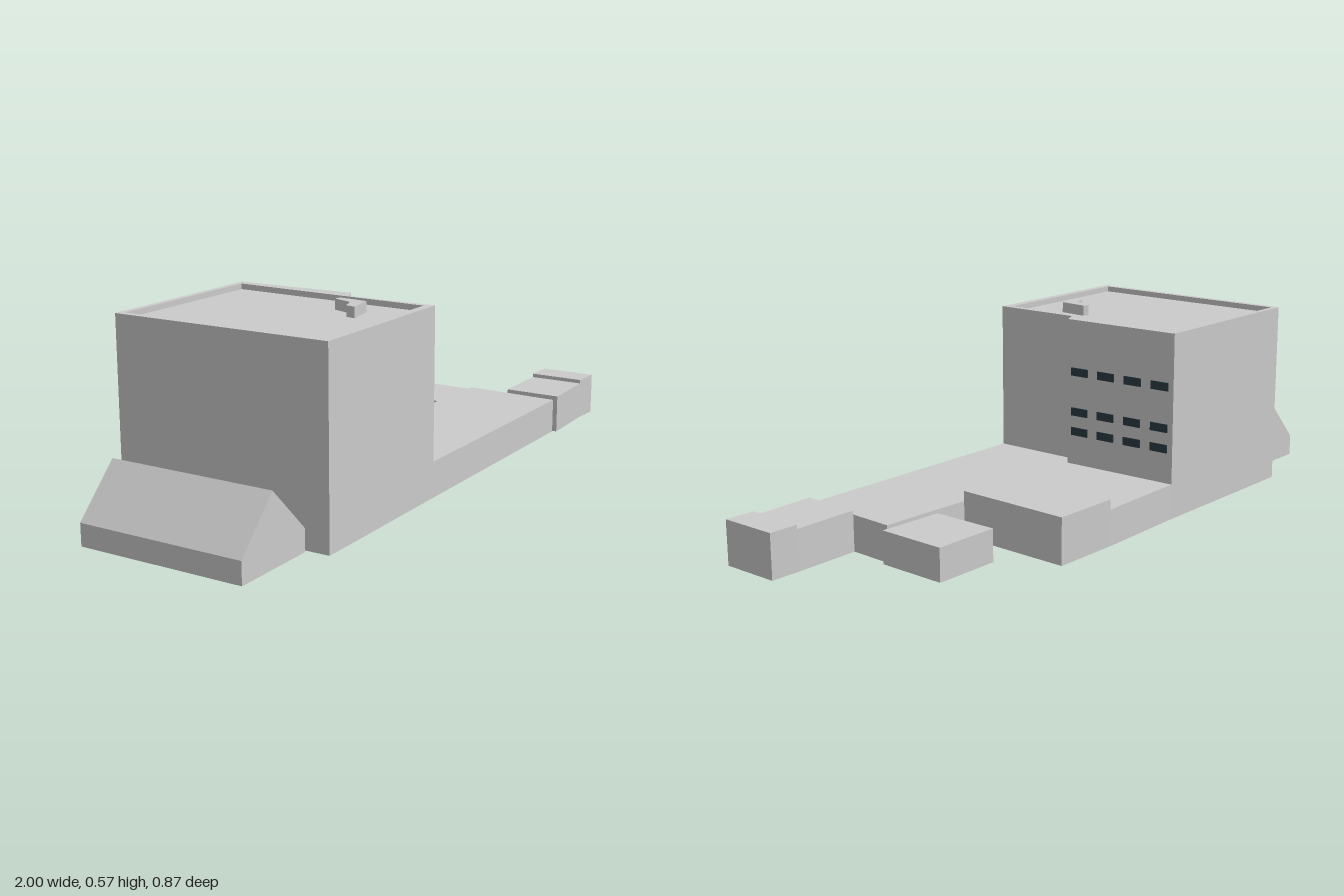
import * as THREE from 'three';

const shell = new THREE.MeshStandardMaterial({ color: 0xcccccc, flatShading: true, side: THREE.DoubleSide });
const glass = new THREE.MeshStandardMaterial({ color: 0x2a3b44 });

// Mesh from triangles given as a flat list of [x, y, z] corners
function meshOf(name, corners) {
  const geo = new THREE.BufferGeometry();
  geo.setAttribute('position', new THREE.Float32BufferAttribute(corners.flat(), 3));
  geo.computeVertexNormals();
  const mesh = new THREE.Mesh(geo, shell);
  mesh.name = name;
  return mesh;
}

// Convex polygon as a triangle fan
function fan(p) {
  const out = [];
  for (let i = 1; i < p.length - 1; i++) out.push(p[0], p[i], p[i + 1]);
  return out;
}

// Walls over a plan of [x, z] points (counter-clockwise from above);
// each edge has its own base height, null leaves the edge open
function walls(plan, top, bases) {
  return plan.flatMap(([x, z], i) => {
    const base = bases ? bases[i] : 0;
    if (base === null) return [];
    const [u, v] = plan[(i + 1) % plan.length];
    return fan([[x, base, z], [u, base, v], [u, top, v], [x, top, z]]);
  });
}

// Flat roof over a plan, optionally with a hole
function cap(plan, y, hole) {
  const to2D = (list) => list.map(([x, z]) => new THREE.Vector2(x, -z));
  const all = hole ? [...plan, ...hole] : plan;
  return THREE.ShapeUtils.triangulateShape(to2D(plan), hole ? [to2D(hole)] : [])
    .flat().map((i) => [all[i][0], y, all[i][1]]);
}

const block = (name, plan, top, bases) => meshOf(name, [...walls(plan, top, bases), ...cap(plan, top)]);

export function createModel() {
  const model = new THREE.Group();
  const H = 0.56, ROOF = 0.543, LOW = 0.108;

  // Tower with a stepped east wall and a sunken roof behind a parapet
  const towerPlan = [[-0.612, 0.43], [-0.085, 0.33], [-0.145, 0.06], [-0.105, 0.03], [-0.195, -0.338], [-0.75, -0.235]];
  const roofPlan = [[-0.598, 0.406], [-0.11, 0.308], [-0.218, -0.315], [-0.728, -0.222]];
  model.add(meshOf('tower', [
    ...walls(towerPlan, H, [0, LOW, LOW, LOW, 0, 0]),
    ...cap(towerPlan, H, roofPlan),
  ]));
  model.add(meshOf('towerRoof', [
    ...walls([...roofPlan].reverse(), H, [ROOF, ROOF, ROOF, ROOF]),
    ...cap(roofPlan, ROOF),
  ]));

  // Small bent roof unit
  const unitPlan = [[-0.305, 0.23], [-0.225, 0.2], [-0.235, 0.11], [-0.255, 0.11], [-0.265, 0.175], [-0.305, 0.2]];
  model.add(block('roofUnit', unitPlan, 0.575, unitPlan.map(() => ROOF)));

  // Windows along the rear part of the east wall
  const windows = new THREE.Group();
  windows.name = 'windows';
  const a = new THREE.Vector2(-0.105, 0.03), b = new THREE.Vector2(-0.195, -0.338);
  const pane = new THREE.BoxGeometry(0.006, 0.025, 0.06);
  for (const y of [0.4, 0.275, 0.213]) {
    for (let i = 0; i < 4; i++) {
      const z = -0.013 - i * 0.093;
      const p = a.clone().lerp(b, (a.y - z) / (a.y - b.y));
      const w = new THREE.Mesh(pane, glass);
      w.name = 'window';
      w.position.set(p.x, y, z);
      w.rotation.y = Math.atan2(a.x - b.x, a.y - b.y);
      windows.add(w);
    }
  }
  model.add(windows);

  // Low wing beside the tower
  model.add(block('wing', [
    [-0.085, 0.33], [0.705, 0.182], [0.655, -0.12], [0.37, -0.08], [0.305, -0.435],
    [0.10, -0.4], [-0.195, -0.338], [-0.105, 0.03], [-0.145, 0.06],
  ], LOW, [0, 0, 0, null, null, 0, null, null, null]));

  // Rear blocks of the wing
  model.add(block('rearBlock', [[0.17, -0.04], [0.37, -0.08], [0.305, -0.435], [0.10, -0.4]], 0.138, [LOW, 0, 0, LOW]));
  model.add(block('rearAnnex', [[0.472, -0.094], [0.67, -0.12], [0.63, -0.33], [0.43, -0.295]], 0.097));

  // Stepped blocks at the far end
  model.add(block('endBlock', [[0.713, 0.193], [0.91, 0.148], [0.875, -0.025], [0.678, 0.015]], 0.12, [0, null, 0, 0]));
  model.add(block('endCap', [[0.91, 0.148], [1, 0.135], [0.963, -0.04], [0.875, -0.025]], 0.132, [0, 0, 0, 0.12]));

  // Gabled house on the west side: [west foot, east foot, east eave, ridge, west eave]
  const gable = (wx, wz) => [
    [wx, 0, wz], [wx + 0.265, 0, wz - 0.05], [wx + 0.265, 0.065, wz - 0.05],
    [wx + 0.13, 0.205, wz - 0.025], [wx, 0.065, wz],
  ];
  const f = gable(-0.9, 0.415), r = gable(-1, -0.09);
  const house = [...fan(f), ...fan([...r].reverse())];
  for (let i = 1; i < 5; i++) {
    const j = (i + 1) % 5;
    house.push(...fan([f[i], r[i], r[j], f[j]]));
  }
  model.add(meshOf('gabledHouse', house));

  // Sloped link from the house ridge to the tower
  const top = [[-0.805, 0.2, 0.168], [-0.672, 0.14, 0.14], [-0.687, 0.14, 0.067], [-0.82, 0.2, 0.095]];
  const foot = top.map(([x, y, z], i) => [x, i === 0 || i === 3 ? 0.19 : 0.065, z]);
  model.add(meshOf('link', [
    ...fan(top),
    ...fan([foot[0], foot[1], top[1], top[0]]),
    ...fan([foot[2], foot[3], top[3], top[2]]),
  ]));

  return model;
}
